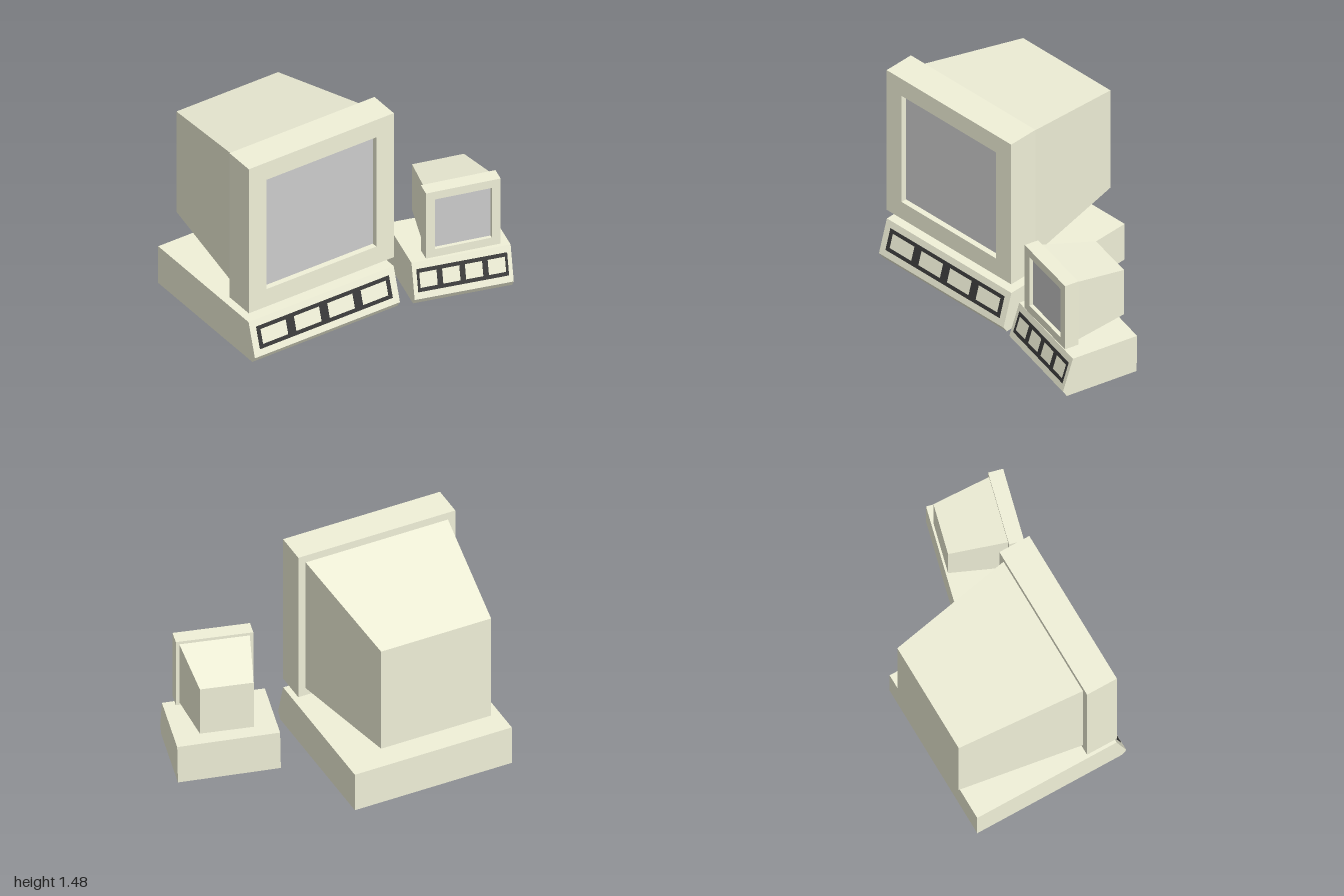
import * as THREE from 'three';

const cream = new THREE.MeshStandardMaterial({ color: 0xf0f0d8, flatShading: true });
const black = new THREE.MeshStandardMaterial({ color: 0x383838, flatShading: true });
const glass = new THREE.MeshStandardMaterial({ color: 0xc0c0c0, flatShading: true });

function part(parent, name, geometry, material) {
  const mesh = new THREE.Mesh(geometry, material);
  mesh.name = name;
  parent.add(mesh);
  return mesh;
}

function rect(Type, x, y, w, h) {
  return new Type([[-1, -1], [1, -1], [1, 1], [-1, 1]].map(
    ([i, j]) => new THREE.Vector2(x + i * w / 2, y + j * h / 2)));
}

const extrude = (shape, depth) => new THREE.ExtrudeGeometry(shape, { depth, bevelEnabled: false });

// Desktop case with a sloping front that carries a four-window panel; stands on y = 0
function makeCase(w, d) {
  const g = new THREE.Group();
  g.name = 'computerCase';
  const h = 0.285, f = d / 2, lip = 0.045, slope = 0.072;
  const profile = new THREE.Shape([[-f, 0], [f - 0.03, 0], [f, lip], [f - slope, h], [-f, h]]
    .map(p => new THREE.Vector2(...p)));
  part(g, 'caseBody', extrude(profile, w).rotateY(-Math.PI / 2).translate(w / 2, 0, 0), cream);

  // Dark panel frame with four openings
  const panel = rect(THREE.Shape, 0, 0, w * 0.915, 0.156);
  for (let i = 0; i < 4; i++) {
    panel.holes.push(rect(THREE.Path, (i - 1.5) * w * 0.23, 0, w * 0.175, 0.104));
  }
  const frame = part(g, 'drivePanel', extrude(panel, 0.008).translate(0, 0, -0.005), black);
  frame.position.set(0, (h + lip) / 2, f - slope / 2);
  frame.rotation.x = -Math.atan2(slope, h - lip);
  return g;
}

// Monitor: front face at z = 0, bottom edge at y = 0
function makeMonitor(o) {
  const g = new THREE.Group();
  g.name = 'monitor';
  const mid = o.size / 2;
  const bezel = rect(THREE.Shape, 0, mid, o.size, o.size);
  bezel.holes.push(rect(THREE.Path, 0, mid, o.screen, o.screen));
  part(g, 'bezel', extrude(bezel, o.depth).translate(0, 0, -o.depth), cream);

  const thick = o.depth - o.recess;
  part(g, 'screen', new THREE.BoxGeometry(o.screen, o.screen, thick)
    .translate(0, mid, -o.recess - thick / 2), glass);

  // Rear housing, narrowing towards the back
  const geo = new THREE.BoxGeometry(1, 1, 1);
  const p = geo.attributes.position;
  for (let i = 0; i < p.count; i++) {
    const e = p.getZ(i) > 0 ? o.near : o.far;
    p.setXYZ(i, p.getX(i) * e.w, p.getY(i) > 0 ? e.top : e.bottom, e.z);
  }
  geo.computeVertexNormals();
  part(g, 'rearHousing', geo, cream);
  return g;
}

export function createModel() {
  const root = new THREE.Group();
  root.name = 'computers';

  // Large computer
  const large = new THREE.Group();
  large.name = 'largeComputer';
  large.position.set(-0.44, 0, 0);
  const largeCase = makeCase(1.12, 1.1);
  largeCase.position.set(0, 0.01, -0.09);
  const largeMonitor = makeMonitor({
    size: 1.12, depth: 0.22, screen: 0.85, recess: 0.04,
    near: { w: 1.015, bottom: 0.055, top: 1.065, z: -0.22 },
    far: { w: 0.785, bottom: 0.11, top: 0.89, z: -1.07 },
  });
  largeMonitor.position.set(0, 0.365, 0.39);
  large.add(largeCase, largeMonitor);

  // Small computer, turned towards the large one
  const small = new THREE.Group();
  small.name = 'smallComputer';
  small.position.set(0.602, 0, 0.316);
  small.rotation.y = -0.255;
  const smallCase = makeCase(0.672, 0.548);
  smallCase.position.y = 0.007;
  smallCase.rotation.z = -0.017;
  const smallMonitor = makeMonitor({
    size: 0.506, depth: 0.1, screen: 0.386, recess: 0.026,
    near: { w: 0.46, bottom: 0.02, top: 0.485, z: -0.1 },
    far: { w: 0.352, bottom: 0.045, top: 0.4, z: -0.483 },
  });
  smallMonitor.position.set(0.015, 0.32, 0.217);
  small.add(smallCase, smallMonitor);

  root.add(large, small);
  return root;
}
